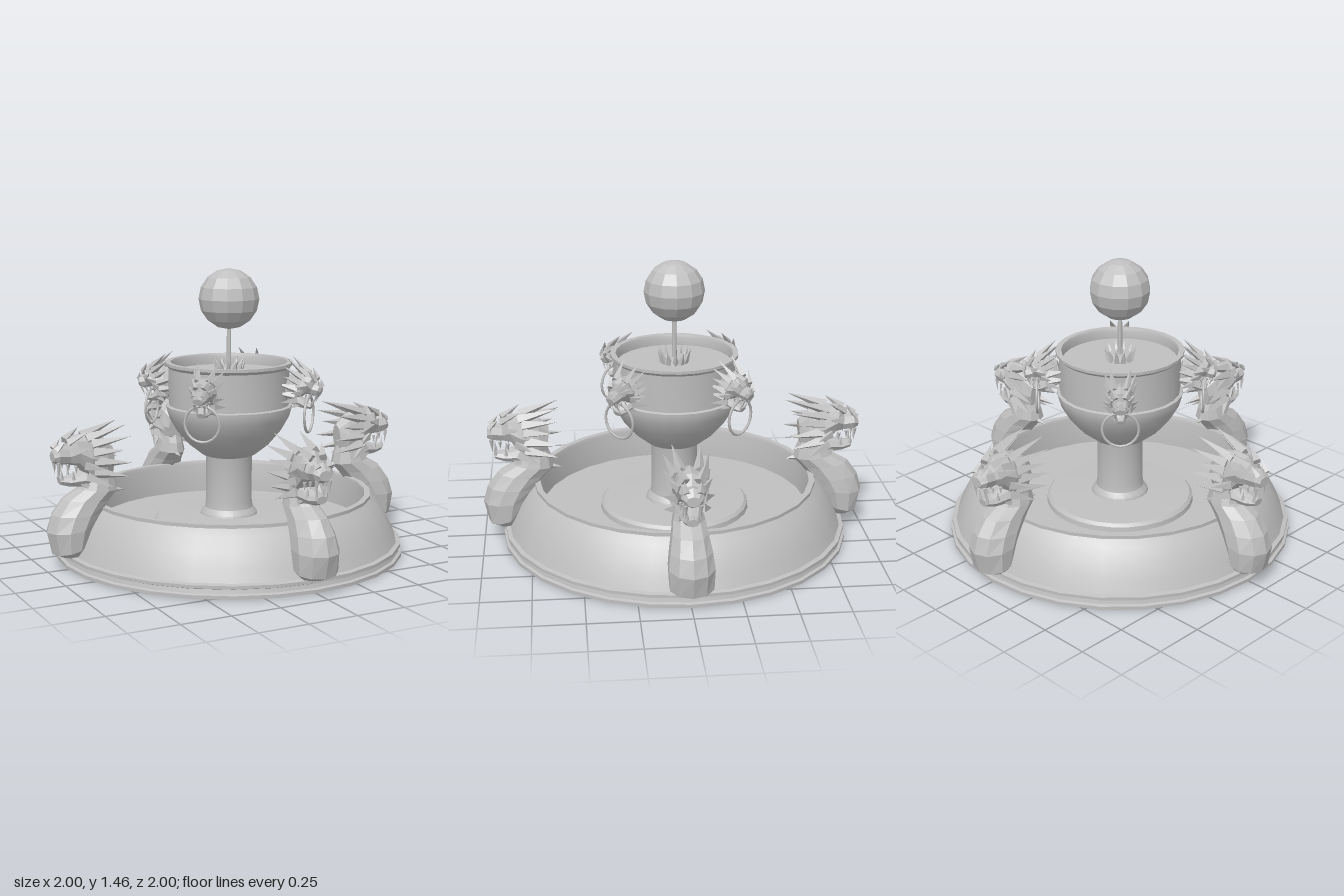
import * as THREE from 'three';
import { toCreasedNormals, mergeGeometries } from 'three/addons/utils/BufferGeometryUtils.js';

const stone = new THREE.MeshStandardMaterial({ color: 0xbfbfbf, side: THREE.DoubleSide });
stone.name = 'grey stone';

const mesh = (name, geometry) => {
  const m = new THREE.Mesh(geometry, stone);
  m.name = name;
  return m;
};

const flat = (g) => {
  const f = g.index ? g.toNonIndexed() : g;
  f.deleteAttribute('uv');
  f.computeVertexNormals();
  return f;
};

// Turned part from [radius, height] pairs
const turned = (name, profile, sides = 28) => mesh(name, toCreasedNormals(
  new THREE.LatheGeometry(profile.map(([r, y]) => new THREE.Vector2(r, y)), sides), 0.45));

// Faceted body through oval sections: [x, y of outer edge, x, y of inner edge, half width]
function loft(sections, sides = 8) {
  const pos = [], idx = [];
  for (const [x0, y0, x1, y1, w] of sections) {
    for (let i = 0; i < sides; i++) {
      const a = (i / sides) * Math.PI * 2, c = Math.cos(a) / 2;
      pos.push((x0 + x1) / 2 + (x0 - x1) * c, (y0 + y1) / 2 + (y0 - y1) * c, w * Math.sin(a));
    }
  }
  const last = (sections.length - 1) * sides;
  for (let s = 0; s < last; s += sides) {
    for (let i = 0; i < sides; i++) {
      const j = (i + 1) % sides;
      idx.push(s + i, s + j, s + sides + i, s + j, s + sides + j, s + sides + i);
    }
  }
  for (let i = 1; i < sides - 1; i++) idx.push(0, i + 1, i, last, last + i, last + i + 1);
  const g = new THREE.BufferGeometry();
  g.setAttribute('position', new THREE.Float32BufferAttribute(pos, 3));
  g.setIndex(idx);
  return flat(g);
}

// Four-sided spike from base to tip
function spike(base, tip, r) {
  const a = new THREE.Vector3(...base), b = new THREE.Vector3(...tip);
  const dir = b.clone().sub(a);
  const g = new THREE.ConeGeometry(r, dir.length(), 4);
  g.applyQuaternion(new THREE.Quaternion().setFromUnitVectors(
    new THREE.Vector3(0, 1, 0), dir.clone().normalize()));
  g.translate(...a.add(b).multiplyScalar(0.5).toArray());
  return flat(g);
}

// Spikes mirrored to both sides of the head
const spikePairs = (list) => mergeGeometries(list.flatMap(([b, t, r]) =>
  [1, -1].map((s) => spike([b[0], b[1], b[2] * s], [t[0], t[1], t[2] * s], r))));

// Beast head looking along +x
function beastHead() {
  const head = new THREE.Group();
  head.name = 'beastHead';
  head.add(mesh('skull', loft([
    [0.965, 0.60, 0.965, 0.55, 0.035],
    [0.94, 0.635, 0.94, 0.535, 0.055],
    [0.89, 0.625, 0.88, 0.53, 0.052],
    [0.86, 0.675, 0.84, 0.52, 0.08],
    [0.78, 0.68, 0.79, 0.45, 0.085],
    [0.70, 0.65, 0.70, 0.42, 0.07],
    [0.65, 0.60, 0.66, 0.46, 0.04],
  ])));
  head.add(mesh('lowerJaw', loft([
    [0.935, 0.475, 0.93, 0.435, 0.03],
    [0.89, 0.475, 0.88, 0.42, 0.045],
    [0.81, 0.50, 0.80, 0.41, 0.06],
    [0.72, 0.52, 0.71, 0.42, 0.05],
  ])));
  head.add(mesh('teeth', spikePairs([
    [[0.945, 0.55, 0.035], [0.94, 0.48, 0.035], 0.012],
    [[0.90, 0.54, 0.042], [0.90, 0.50, 0.042], 0.01],
    [[0.86, 0.53, 0.05], [0.86, 0.49, 0.05], 0.01],
    [[0.925, 0.46, 0.025], [0.93, 0.52, 0.027], 0.01],
    [[0.87, 0.46, 0.04], [0.875, 0.51, 0.042], 0.01],
  ])));
  head.add(mesh('browsAndNostrils', spikePairs([
    [[0.89, 0.645, 0.03], [0.80, 0.70, 0.075], 0.024],
    [[0.95, 0.61, 0.03], [0.91, 0.655, 0.04], 0.02],
    [[0.87, 0.60, 0.05], [0.80, 0.62, 0.105], 0.028],
  ])));
  head.add(mesh('horns', spikePairs([
    [[0.80, 0.655, 0.04], [0.60, 0.72, 0.07], 0.03],
    [[0.78, 0.63, 0.06], [0.595, 0.665, 0.11], 0.03],
  ])));
  head.add(mesh('mane', spikePairs([
    [[0.77, 0.59, 0.06], [0.63, 0.60, 0.115], 0.032],
    [[0.77, 0.54, 0.06], [0.585, 0.53, 0.10], 0.034],
    [[0.77, 0.49, 0.055], [0.60, 0.46, 0.09], 0.034],
    [[0.80, 0.47, 0.05], [0.69, 0.42, 0.115], 0.03],
    [[0.81, 0.53, 0.06], [0.74, 0.51, 0.125], 0.028],
    [[0.82, 0.44, 0.03], [0.76, 0.385, 0.06], 0.025],
  ])));
  return head;
}

// Large guardian: heavy curved neck carrying a head
function guardian() {
  const g = new THREE.Group();
  g.name = 'guardian';
  g.add(mesh('neck', loft([
    [0.94, 0.075, 0.83, 0.08, 0.075],
    [0.975, 0.09, 0.80, 0.13, 0.11],
    [1.0, 0.20, 0.76, 0.22, 0.115],
    [0.975, 0.285, 0.72, 0.28, 0.105],
    [0.92, 0.36, 0.675, 0.335, 0.09],
    [0.84, 0.405, 0.63, 0.385, 0.08],
    [0.81, 0.46, 0.64, 0.44, 0.065],
    [0.80, 0.54, 0.67, 0.52, 0.055],
  ], 10)));
  g.add(mesh('neckSpine', spike([0.69, 0.39, 0], [0.59, 0.375, 0], 0.03)));
  g.add(beastHead());
  return g;
}

// Small head on the bowl, holding a ring
function ringHolder() {
  const g = new THREE.Group();
  g.name = 'ringHolder';
  const head = beastHead();
  const pivot = new THREE.Group();
  pivot.name = 'bowlHead';
  head.position.set(-0.74, -0.55, 0);
  pivot.add(head);
  pivot.position.set(0.36, 0.875, 0);
  pivot.rotation.z = -0.35;
  pivot.scale.set(0.58, 0.72, 0.72);
  const ring = mesh('ring', new THREE.TorusGeometry(0.09, 0.007, 6, 20));
  ring.rotation.y = Math.PI / 2;
  ring.position.set(0.425, 0.73, 0);
  g.add(pivot, ring);
  return g;
}

export function createModel() {
  const model = new THREE.Group();
  model.name = 'fountain';

  // Basin shell, floor and plinth
  model.add(turned('basinWall', [
    [0.885, 0], [0.9, 0.003], [0.9, 0.02], [0.885, 0.025], [0.88, 0.045], [0.892, 0.05],
    [0.892, 0.065], [0.87, 0.07], [0.845, 0.13], [0.81, 0.20], [0.765, 0.265], [0.735, 0.295],
    [0.735, 0.312], [0.705, 0.312], [0.70, 0.295], [0.70, 0.08],
  ]));
  model.add(turned('basinFloor', [[0, 0.06], [0.70, 0.06], [0.70, 0.14], [0, 0.14]]));
  model.add(turned('plinthFoot', [[0.38, 0.06], [0.38, 0.05], [0.39, 0.05], [0.39, 0.06]]));
  model.add(turned('plinth', [[0.39, 0.13], [0.385, 0.165], [0.37, 0.18], [0.15, 0.19]]));

  // Stem and bowl
  model.add(turned('stem', [
    [0.15, 0.18], [0.145, 0.20], [0.125, 0.225], [0.12, 0.26], [0.12, 0.50], [0.13, 0.54]], 20));
  model.add(turned('bowl', [
    [0.10, 0.49], [0.14, 0.505], [0.21, 0.56], [0.27, 0.63], [0.31, 0.70], [0.325, 0.75],
    [0.325, 0.76], [0.31, 0.765], [0.312, 0.955], [0.328, 0.97], [0.328, 0.985], [0.30, 0.985],
    [0.295, 0.97], [0.295, 0.93], [0, 0.93],
  ], 24));

  // Spout crown, pole and ball
  const petals = [];
  for (let i = 0; i < 12; i++) {
    const a = (i / 12) * Math.PI * 2, c = Math.cos(a), s = Math.sin(a);
    petals.push(spike([0.055 * c, 0.93, 0.055 * s], [0.085 * c, 1.0, 0.085 * s], 0.02));
  }
  model.add(mesh('spoutCrown', mergeGeometries(petals)));
  model.add(turned('spoutBase', [[0.07, 0.93], [0.06, 0.96], [0, 0.96]], 12));
  model.add(turned('pole', [[0.013, 0.93], [0.011, 1.17]], 8));
  const ball = mesh('ball', flat(new THREE.SphereGeometry(0.155, 12, 8)));
  ball.position.y = 1.305;
  model.add(ball);

  // Four guardians on the axes, four ring holders on the diagonals
  for (let i = 0; i < 4; i++) {
    const beast = guardian(), holder = ringHolder();
    beast.rotation.y = (i * Math.PI) / 2;
    holder.rotation.y = ((i + 0.5) * Math.PI) / 2;
    model.add(beast, holder);
  }
  return model;
}
